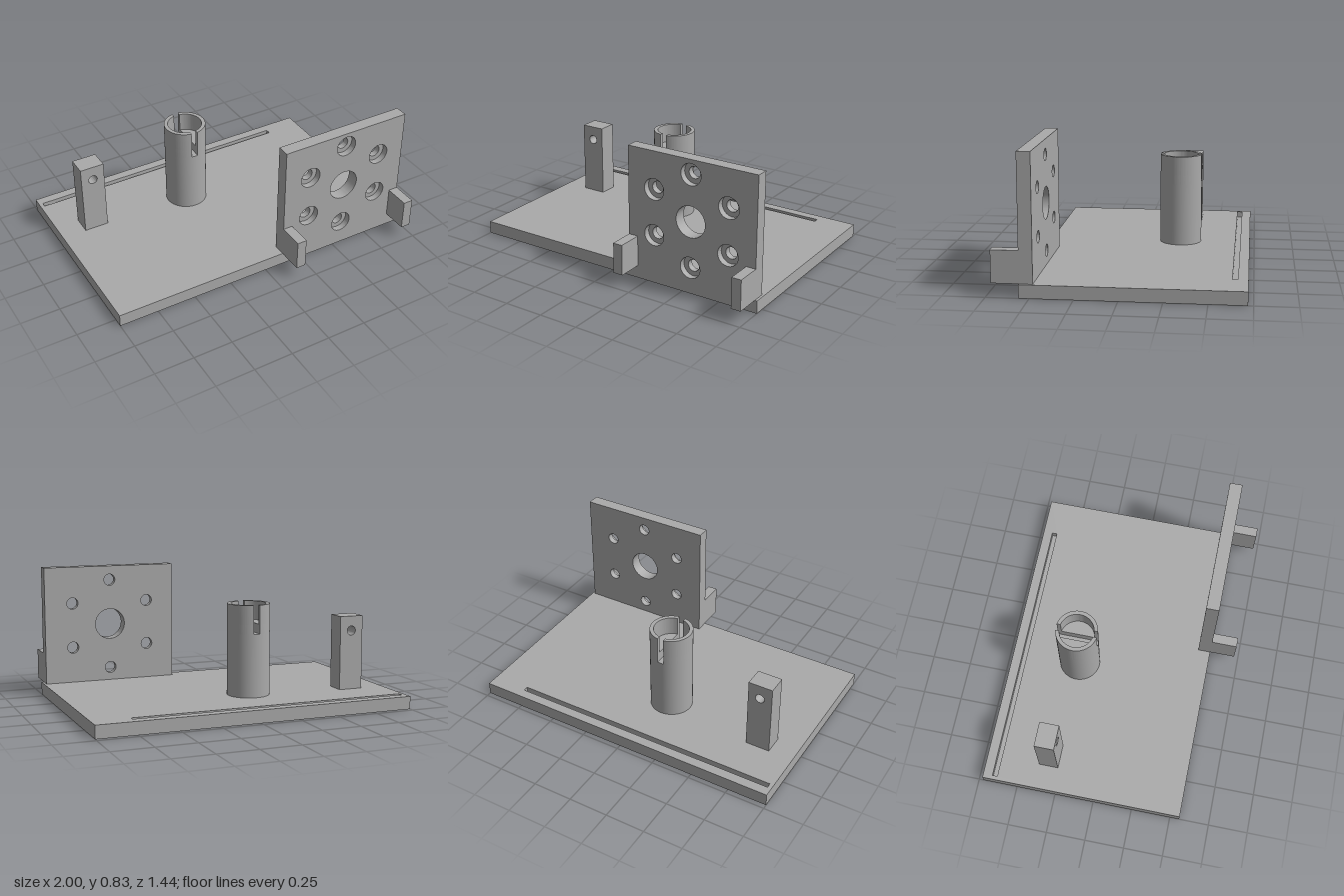
import * as THREE from 'three';
import { toCreasedNormals } from 'three/addons/utils/BufferGeometryUtils.js';

const grey = new THREE.MeshStandardMaterial({ color: 0xaaaaaa });
grey.name = 'plain grey';

function add(parent, name, geometry) {
  const mesh = new THREE.Mesh(geometry, grey);
  mesh.name = name;
  parent.add(mesh);
  return mesh;
}

// Box given by its limits on each axis
function box(x0, x1, y0, y1, z0, z1) {
  return new THREE.BoxGeometry(x1 - x0, y1 - y0, z1 - z0)
    .translate((x0 + x1) / 2, (y0 + y1) / 2, (z0 + z1) / 2);
}

function rect(x0, x1, y0, y1) {
  return new THREE.Shape([[x0, y0], [x1, y0], [x1, y1], [x0, y1]].map(p => new THREE.Vector2(...p)));
}

function hole(shape, x, y, r) {
  shape.holes.push(new THREE.Path().absarc(x, y, r, 0, Math.PI * 2, true));
}

function extrude(shape, depth) {
  const g = new THREE.ExtrudeGeometry(shape, { depth, bevelEnabled: false, curveSegments: 32 });
  return toCreasedNormals(g, 0.6);
}

// Upright plate between two z limits
const panel = (shape, z0, z1) => extrude(shape, z1 - z0).translate(0, 0, z0);
// Flat plate between two y limits; shape y becomes -z
const slab = (shape, y0, y1) => extrude(shape, y1 - y0).rotateX(-Math.PI / 2).translate(0, y0, 0);

export function createModel() {
  const model = new THREE.Group();
  model.name = 'mountingFixture';

  // Base plate with a shallow groove along the back
  const base = new THREE.Group();
  base.name = 'basePlate';
  model.add(base);
  add(base, 'baseLower', box(-1, 1, 0, 0.04, -0.72, 0.56));
  const top = rect(-1, 1, -0.56, 0.72);
  top.holes.push(rect(-0.975, 0.765, 0.628, 0.66));
  add(base, 'baseUpperWithGroove', slab(top, 0.04, 0.08));

  // Motor plate: small holes behind, counterbores in front
  const plate = new THREE.Group();
  plate.name = 'motorPlate';
  model.add(plate);
  const cx = 0.553, cy = 0.453;
  for (const [name, r, z0, z1] of [['plateBack', 0.037, 0.48, 0.52], ['plateFront', 0.067, 0.52, 0.56]]) {
    const s = rect(0.122, 0.985, 0.08, 0.833);
    hole(s, cx, cy, 0.098);
    for (let i = 0; i < 6; i++) {
      const a = Math.PI / 6 + i * Math.PI / 3;
      hole(s, cx + 0.289 * Math.cos(a), cy + 0.289 * Math.sin(a), r);
    }
    add(plate, name, panel(s, z0, z1));
  }
  // Feet in front of the plate
  add(plate, 'rightFoot', box(0.122, 0.184, 0.08, 0.273, 0.56, 0.72));
  add(plate, 'leftFoot', box(0.923, 0.985, 0.08, 0.273, 0.56, 0.72));

  // Round column with a slotted cup at its top
  const column = new THREE.Group();
  column.name = 'slottedColumn';
  column.position.set(-0.107, 0, -0.275);
  model.add(column);
  const R = 0.132, r = 0.108, s = 0.02;
  const slotY = 0.472, floorY = 0.53, topY = 0.648;
  add(column, 'columnBody', new THREE.CylinderGeometry(R, R, slotY - 0.08, 64)
    .translate(0, (slotY + 0.08) / 2, 0));
  const A = Math.acos(s / R), B = Math.acos(s / r);
  for (const turn of [0, Math.PI]) {
    const solid = new THREE.Shape().absarc(0, 0, R, -A, A, false);
    const wall = new THREE.Shape().absarc(0, 0, R, -A, A, false).absarc(0, 0, r, B, -B, true);
    add(column, 'cupFloor', slab(solid, slotY, floorY)).rotation.y = turn;
    add(column, 'cupWall', slab(wall, floorY, topY)).rotation.y = turn;
  }

  // Square post with a cross hole
  const post = rect(-0.845, -0.69, 0.08, 0.546);
  hole(post, -0.767, 0.454, 0.029);
  add(model, 'drilledPost', panel(post, -0.383, -0.26));

  return model;
}
